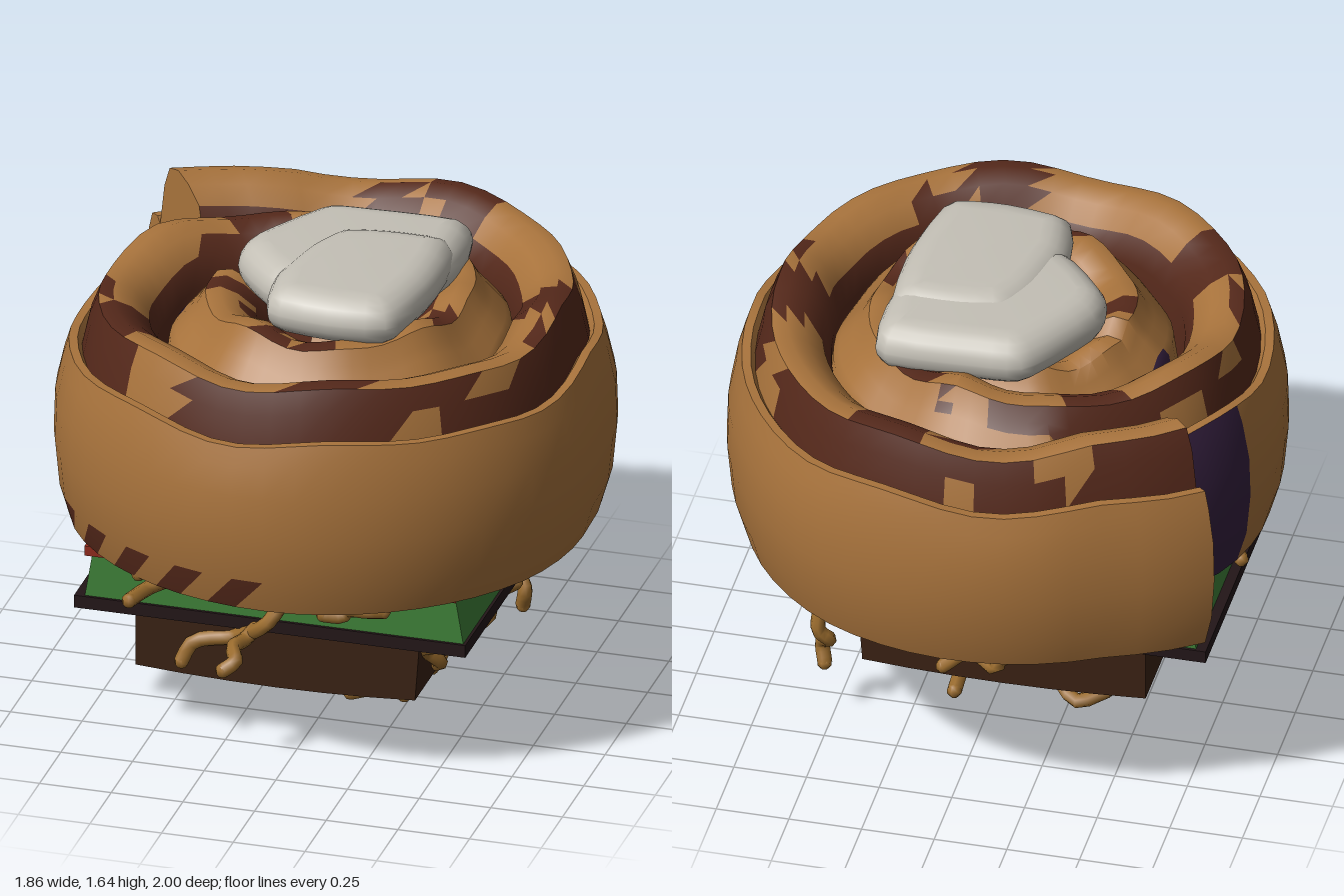
import * as THREE from 'three';
import { toCreasedNormals } from 'three/addons/utils/BufferGeometryUtils.js';

const mat = (color, side = THREE.FrontSide) =>
  new THREE.MeshStandardMaterial({ color, side, roughness: 0.85 });

function add(parent, name, geometry, material, x = 0, y = 0, z = 0) {
  const mesh = new THREE.Mesh(geometry, material);
  mesh.name = name;
  mesh.position.set(x, y, z);
  parent.add(mesh);
  return mesh;
}

// Outer radius of the spiral: [angle in degrees, radius], clockwise seen from above
const SPIRAL = [
  [218, 1.13], [236, 1.04], [260, 1.02], [297, 0.99], [330, 0.94], [360, 0.92], [390, 0.96],
  [444, 0.99], [504, 0.98], [540, 0.93], [556, 0.9], [578, 0.82], [604, 0.73], [635, 0.66],
  [720, 0.59], [810, 0.65], [880, 0.6], [905, 0.56], [945, 0.46], [990, 0.37], [1180, 0.3],
];
function radiusAt(a) {
  let k = 0;
  while (k < SPIRAL.length - 2 && a > SPIRAL[k + 1][0]) k++;
  const [a0, r0] = SPIRAL[k], [a1, r1] = SPIRAL[k + 1];
  return r0 + (r1 - r0) * (a - a0) / (a1 - a0);
}

// Section of the dough strip: [distance inward, height]
const SECTION = [
  [0.05, 0.72], [0.015, 0.84], [0, 1.0], [0.005, 1.15], [0.03, 1.27], [0.05, 1.335], [0.08, 1.335],
  [0.095, 1.31], [0.12, 1.42], [0.15, 1.495], [0.2, 1.505], [0.26, 1.475], [0.32, 1.42], [0.35, 1.33],
  [0.36, 1.1], [0.36, 0.76], [0.32, 0.8], [0.17, 0.8], [0.12, 0.72],
];

// Colour of a strip face by its angle and its place in the section
function partAt(a, j) {
  if (j < 5) {
    if ((a > 550 && a < 592) || (a > 890 && a < 950)) return 'filling';
    return j < 1 && a > 445 && a < 505 && Math.sin(a * 0.5) > -0.2 ? 'glaze' : 'dough';
  }
  if (j < 7) return 'dough';
  if (a > 890) return j < 12 ? 'dough' : 'glaze';
  const patch = Math.sin(a * 0.083 + j * 0.35) + 0.5 * Math.sin(a * 0.21 + 2 - j * 0.5);
  if (j < 9) return a < 640 && patch > -0.85 ? 'glaze' : 'dough';
  if (j < 12) return patch > 0.5 ? 'glaze' : 'dough';
  return j < 17 ? 'glaze' : 'dough';
}

// Height of a section point; the inner turns have a rounded shoulder instead of a lip
function heightAt(a, d, h) {
  const t = THREE.MathUtils.degToRad(a);
  if (h <= 1.2) return h;
  let y = h + 0.014 * Math.sin(t * 5.3) + 0.01 * Math.sin(t * 9.1 + 1);
  if (h > 1.4 && a < 250) y += 0.045 * (250 - a) / 32;
  if (a > 600 && d < 0.13) y += 1.3 + 1.2 * d - h;
  if (a > 900) y -= 0.06;
  return y;
}

// Sweep the section along the spiral and sort its faces into dough, glaze and filling
function spiralRoll(parent) {
  const n = SECTION.length, steps = 150, a0 = 218, a1 = 1180;
  const pos = [], index = [], tags = [];
  for (let i = 0; i <= steps; i++) {
    const a = a0 + (a1 - a0) * i / steps, r = radiusAt(a), t = THREE.MathUtils.degToRad(a);
    const squeeze = Math.min(1, (r - 0.02) / 0.36);
    for (const [d, h] of SECTION) {
      const rr = r - d * squeeze;
      pos.push(rr * Math.cos(t), heightAt(a, d, h), rr * Math.sin(t));
    }
  }
  for (let i = 0; i < steps; i++) {
    for (let j = 0; j < n; j++) {
      const a = i * n + j, b = i * n + (j + 1) % n, c = a + n, d = b + n;
      index.push(a, b, c, b, d, c);
      const step = (a1 - a0) / steps;
      tags.push(partAt(a0 + step * (i + 0.3), j), partAt(a0 + step * (i + 0.7), j));
    }
  }
  // Caps at both cut ends
  const outline = SECTION.map(([d, h]) => new THREE.Vector2(d, h));
  for (const [a, b, c] of THREE.ShapeUtils.triangulateShape(outline, [])) {
    const e = steps * n;
    index.push(a, b, c, e + a, e + c, e + b);
    tags.push('dough', 'dough');
  }
  let whole = new THREE.BufferGeometry();
  whole.setAttribute('position', new THREE.Float32BufferAttribute(pos, 3));
  whole.setIndex(index);
  whole = toCreasedNormals(whole, 0.75);
  const colors = { dough: 0xa8733c, glaze: 0x54281a, filling: 0x35203f };
  for (const tag of Object.keys(colors)) {
    const g = new THREE.BufferGeometry();
    for (const key of ['position', 'normal']) {
      const kept = [];
      tags.forEach((t, f) => {
        if (t === tag) kept.push(...whole.attributes[key].array.slice(f * 9, f * 9 + 9));
      });
      g.setAttribute(key, new THREE.Float32BufferAttribute(kept, 3));
    }
    add(parent, tag, g, mat(colors[tag], THREE.DoubleSide));
  }
}

// Rectangular slab whose top may be narrower than its bottom
function slab(x0, x1, y0, y1, z0, z1, topInset = 0) {
  const g = new THREE.BoxGeometry(x1 - x0, y1 - y0, z1 - z0);
  const p = g.attributes.position;
  for (let i = 0; i < p.count; i++) if (p.getY(i) > 0) p.setX(i, p.getX(i) - Math.sign(p.getX(i)) * topInset);
  g.translate((x0 + x1) / 2, (y0 + y1) / 2, (z0 + z1) / 2);
  g.computeVertexNormals();
  return g;
}

// Soft rounded pillow from a plan outline of [x, z] points
function icingBlob(points, y0, y1) {
  const curve = new THREE.CatmullRomCurve3(points.map(([x, z]) => new THREE.Vector3(x, -z, 0)), true, 'catmullrom', 0.3);
  const shape = new THREE.Shape(curve.getPoints(28).slice(0, -1).map(v => new THREE.Vector2(v.x, v.y)));
  const b = (y1 - y0) * 0.48;
  const g = new THREE.ExtrudeGeometry(shape, {
    depth: y1 - y0 - 2 * b, bevelThickness: b, bevelSize: 0.1, bevelOffset: -0.1, bevelSegments: 5,
  });
  g.rotateX(-Math.PI / 2).translate(0, y0 + b, 0);
  return toCreasedNormals(g, 0.9);
}

// Both ends of each crisp strand: [x, y, z, x, y, z]
const STRANDS = [
  [-0.47, 0.72, 0.78, -0.42, 0.82, 0.81],
  [-0.5, 0.62, 0.79, -0.1, 0.7, 0.5],
  [-0.28, 0.7, 0.52, 0.02, 0.7, 0.52],
  [0.1, 0.53, 0.53, 0.31, 0.57, 0.53],
  [0.52, 0.53, -0.05, 0.73, 0.6, -0.02],
  [-0.05, 0.54, 0.53, -0.4, 0.28, 0.51],
  [-0.14, 0.44, 0.52, -0.2, 0.36, 0.7],
  [0.57, 0.4, -0.15, 0.35, 0.2, -0.03],
  [0.35, 0.2, -0.03, 0.24, 0.03, 0.05],
  [-0.12, 0.2, 0.15, 0.12, 0.06, -0.22],
  [-0.53, 0.2, -0.1, -0.26, 0.05, 0.05],
  [0.54, 0.44, -0.4, 0.53, 0.21, -0.37],
  [-0.66, 0.42, -0.1, -0.54, 0.26, 0.05],
  [-0.62, 0.55, 0.2, -0.78, 0.5, 0.14],
  [-0.5, 0.72, -0.38, -0.25, 0.52, -0.48],
  [0.2, 0.74, -0.4, 0.25, 0.48, -0.5],
  [-0.2, 0.44, -0.46, 0.12, 0.27, -0.38],
  [-0.45, 0.19, 0.33, -0.05, 0.18, 0.22],
  [0.15, 0.18, 0.38, 0.36, 0.2, 0.05],
  [-0.42, 0.19, -0.28, 0.02, 0.18, -0.25],
  [0.45, 0.42, 0.45, 0.38, 0.22, 0.2],
];

// Path between the two ends, bent differently for each strand
function strandPath([x0, y0, z0, x1, y1, z1], seed) {
  const a = new THREE.Vector3(x0, y0, z0), b = new THREE.Vector3(x1, y1, z1);
  const bend = 0.12 * a.distanceTo(b);
  return [0, 0.25, 0.5, 0.75, 1].map((t, k) => {
    const amount = t > 0 && t < 1 ? bend : 0;
    const s = seed * 2.4 + k * 1.8;
    return a.clone().lerp(b, t).add(new THREE.Vector3(Math.sin(s), 0.5 * Math.cos(s), Math.sin(s + 1)).multiplyScalar(amount));
  });
}

export function createModel() {
  const model = new THREE.Group();
  model.name = 'layeredRoll';

  // Spiral roll, with a core that closes the gaps between the turns
  const roll = new THREE.Group();
  roll.name = 'spiralRoll';
  spiralRoll(roll);
  add(roll, 'rollCore', new THREE.CylinderGeometry(0.33, 0.6, 0.5, 24), mat(0x54281a), 0, 1.1, 0);
  add(roll, 'rollBase', new THREE.CylinderGeometry(0.68, 0.68, 0.24, 32), mat(0x54281a), 0, 0.94, 0);
  model.add(roll);

  // Icing in two overlapping blobs
  const icing = new THREE.Group();
  icing.name = 'icing';
  const white = mat(0xc4c0b6);
  const backOutline = [[-0.34, -0.1], [-0.17, -0.38], [0, -0.41], [0.34, -0.4], [0.36, -0.1], [0.2, 0.25], [-0.15, 0.24], [-0.34, 0.04]];
  const frontOutline = [[-0.13, -0.02], [-0.05, -0.18], [0.12, -0.22], [0.34, -0.2], [0.36, 0.1], [0.3, 0.4], [0.1, 0.44], [-0.13, 0.4], [-0.17, 0.2]];
  add(icing, 'icingBack', icingBlob(backOutline, 1.44, 1.625), white);
  add(icing, 'icingFront', icingBlob(frontOutline, 1.47, 1.645), white);
  model.add(icing);

  // Stacked layers under the roll
  add(model, 'creamLayer', slab(-0.73, 0.57, 0.65, 0.8, -0.35, 0.48, 0.02), mat(0xb8a462));
  add(model, 'redLayer', slab(-0.745, 0.55, 0.615, 0.65, -0.36, 0.49), mat(0x8e2a1c));
  add(model, 'greenLayer', slab(-0.745, 0.575, 0.465, 0.615, -0.355, 0.485, 0.025), mat(0x3f8038));
  add(model, 'darkTray', slab(-0.78, 0.585, 0.42, 0.465, -0.365, 0.495), mat(0x231618));

  // Dark block with a sagging underside
  const block = new THREE.BoxGeometry(0.99, 0.2, 0.83, 6, 1, 6);
  const p = block.attributes.position;
  for (let i = 0; i < p.count; i++) {
    if (p.getY(i) > 0) continue;
    const u = p.getX(i) / 0.495, v = p.getZ(i) / 0.415;
    p.setX(i, p.getX(i) * (u > 0 ? 0.97 : 1));
    p.setY(i, p.getY(i) - 0.03 * (1 - u * u) * (1 - 0.4 * v * v));
  }
  add(model, 'darkBlock', toCreasedNormals(block, 0.5), mat(0x3a2214), -0.075, 0.33, 0.065);
  const crumb = add(model, 'crumb', new THREE.CylinderGeometry(0.13, 0.05, 0.07, 6), mat(0x55341d), 0.07, 0.18, 0.07);
  crumb.rotation.z = -0.2;

  // Crisp strands with rounded tips
  const strands = new THREE.Group();
  strands.name = 'strands';
  const crisp = mat(0x9c6d2e), radius = 0.026;
  STRANDS.forEach((ends, seed) => {
    const points = strandPath(ends, seed);
    add(strands, 'strand', new THREE.TubeGeometry(new THREE.CatmullRomCurve3(points), 14, radius, 7), crisp);
    for (const e of [points[0], points[4]]) add(strands, 'strandTip', new THREE.SphereGeometry(radius, 7, 5), crisp, e.x, e.y, e.z);
  });
  model.add(strands);
  return model;
}
